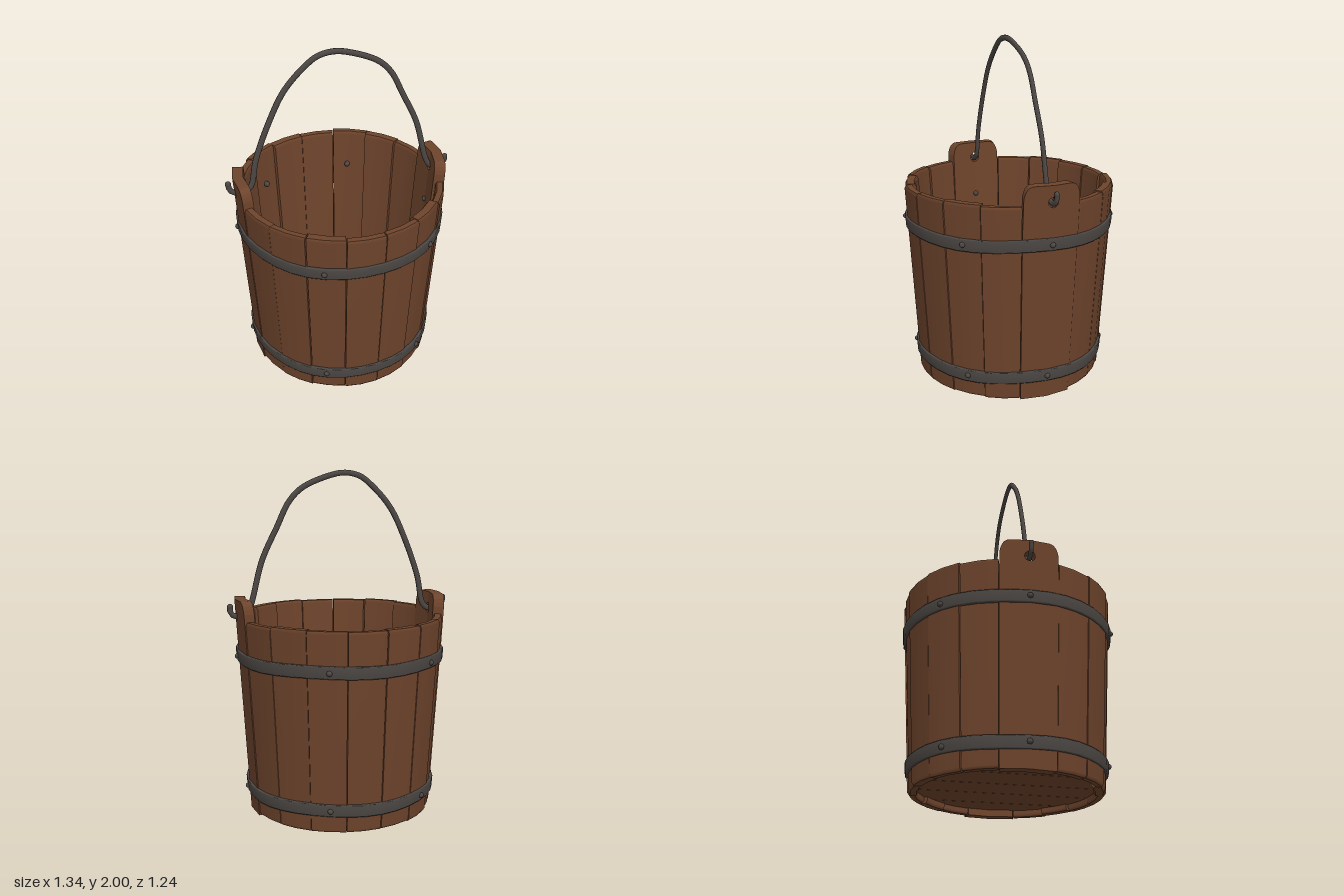
import * as THREE from 'three';

const HEIGHT = 1.16, WALL = 0.056, EAR_HALF = THREE.MathUtils.degToRad(16);
const outerRadius = (y) => 0.545 + (0.07 * y) / HEIGHT;

// Rewrites every vertex of a geometry by a rule and refreshes the normals
function reshape(geometry, rule) {
  const p = geometry.attributes.position;
  for (let i = 0; i < p.count; i++) p.setXYZ(i, ...rule(p.getX(i), p.getY(i), p.getZ(i)));
  geometry.computeVertexNormals();
  return geometry;
}

// Tapered wall plank, bent round the axis, with softened ends
function staveGeometry(angle, span, i) {
  const push = 0.004 * Math.sin(i * 2.3);
  const wall = WALL + 0.008 * Math.sin(i * 4.1);
  const top = HEIGHT + 0.004 * Math.sin(i * 1.7);
  const rows = [0.004 + 0.004 * Math.sin(i * 3.1), 0.02, top - 0.018, top];
  return reshape(new THREE.BoxGeometry(1, 1, 1, 2, 3, 1), (u, v, w) => {
    const row = Math.round((v + 0.5) * 3), y = rows[row];
    const trim = row === 0 || row === 3 ? 0.01 : 0;
    const r = outerRadius(y) + push + (w > 0 ? -trim : trim - wall);
    const a = angle + u * (span - 0.007);
    return [r * Math.sin(a), y, r * Math.cos(a)];
  });
}

// One half of the tall plank with the handle hole, split down its middle
function earHalfGeometry(side) {
  const holeY = 1.175, holeR = 0.03, top = 1.27;
  const shape = new THREE.Shape();
  shape.moveTo(0, 0);
  for (let i = 0; i <= 8; i++) {
    const a = -Math.PI / 2 + (i / 8) * Math.PI;
    shape.lineTo(side * holeR * Math.cos(a), holeY + holeR * Math.sin(a));
  }
  shape.lineTo(0, top);
  shape.lineTo(side * 0.11, top);
  shape.quadraticCurveTo(side * 0.155, top, side * 0.166, top - 0.07);
  shape.lineTo(side * 0.167, 1.0);
  shape.lineTo(side * 0.149, 0);
  shape.closePath();
  const geometry = new THREE.ExtrudeGeometry(shape, { depth: 0.062, bevelEnabled: false, curveSegments: 5 });
  return reshape(geometry, (u, y, d) => {
    const inset = 0.062 - d;
    return [u * (1 - inset / 0.6), y, outerRadius(y) + 0.004 - inset - 0.145 * Math.abs(u)];
  });
}

// Strip of a disc between two x positions
function floorBoardGeometry(x0, x1, radius, depth) {
  const shape = new THREE.Shape();
  const edge = (x) => Math.sqrt(Math.max(0, radius * radius - x * x));
  const n = 8, xs = Array.from({ length: n + 1 }, (_, i) => x0 + ((x1 - x0) * i) / n);
  const points = xs.map((x) => new THREE.Vector2(x, -edge(x)));
  xs.reverse().forEach((x) => points.push(new THREE.Vector2(x, edge(x))));
  shape.setFromPoints(points);
  return new THREE.ExtrudeGeometry(shape, { depth, bevelEnabled: false }).rotateX(-Math.PI / 2);
}

// Slightly uneven iron band following the taper of the wall
function hoopGeometry(y, inner) {
  const h = 0.036, out = (v) => outerRadius(v) + 0.014;
  const profile = [
    [inner, y - h], [out(y - h) - 0.004, y - h], [out(y - h), y - h + 0.006],
    [out(y), y], [out(y + h), y + h - 0.006], [out(y + h) - 0.004, y + h],
    [inner, y + h], [inner, y - h],
  ].map(([r, v]) => new THREE.Vector2(r, v));
  return reshape(new THREE.LatheGeometry(profile, 36), (x, v, z) => {
    const a = Math.atan2(x, z);
    return [x, v + 0.004 * Math.sin(5 * a + 1), z];
  });
}

export function createModel() {
  const wood = new THREE.MeshStandardMaterial({ color: 0x6e442c });
  wood.name = 'brown wood';
  const iron = new THREE.MeshStandardMaterial({ color: 0x4c4744 });
  iron.name = 'dark iron';

  const bucket = new THREE.Group();
  bucket.name = 'bucket';
  const add = (name, geometry, material) => {
    const mesh = new THREE.Mesh(geometry, material);
    mesh.name = name;
    bucket.add(mesh);
    return mesh;
  };

  // Wall: seven planks at the front and at the back, between the two ears
  const span = (Math.PI - 2 * EAR_HALF) / 7;
  for (let i = 0; i < 14; i++) {
    const angle = (i < 7 ? 0 : Math.PI) + ((i % 7) - 3) * span;
    add('stave', staveGeometry(angle, span, i), wood);
  }
  for (const turn of [1, -1]) {
    for (const side of [1, -1]) {
      add('earStave', earHalfGeometry(side).rotateY((turn * Math.PI) / 2), wood);
    }
  }

  // Floor: five boards running front to back
  const seams = [-0.5, -0.313, -0.1, 0.1, 0.313, 0.5];
  for (let i = 0; i < 5; i++) {
    const board = add('floorBoard', floorBoardGeometry(seams[i] + 0.002, seams[i + 1] - 0.002, 0.502, 0.055), wood);
    board.position.y = 0.04;
  }

  // Hoops with rivets driven through the wall
  for (const [name, y, inner] of [['lowerHoop', 0.138, 0.484], ['upperHoop', 0.935, 0.575]]) {
    add(name, hoopGeometry(y, inner), iron);
    for (const degrees of [0, 47, 112, 180, 228, 290]) {
      const a = THREE.MathUtils.degToRad(degrees);
      const rivet = add('rivet', new THREE.CapsuleGeometry(0.017, 0.07, 4, 8).rotateZ(Math.PI / 2), iron);
      const r = outerRadius(y) - 0.023;
      rivet.position.set(r * Math.cos(a), y, r * Math.sin(a));
      rivet.rotation.y = -a;
    }
  }

  // Hand-bent handle with its ends hooked through the ears
  const path = [
    [-0.652, 1.235], [-0.645, 1.195], [-0.618, 1.172], [-0.56, 1.17], [-0.522, 1.2], [-0.485, 1.37],
    [-0.4, 1.6], [-0.31, 1.78], [-0.2, 1.905], [-0.12, 1.965], [-0.03, 1.983], [0.06, 1.967],
    [0.22, 1.9], [0.3, 1.82], [0.37, 1.68], [0.46, 1.49], [0.535, 1.22], [0.565, 1.175],
    [0.618, 1.168], [0.648, 1.187], [0.652, 1.225],
  ].map(([x, y]) => new THREE.Vector3(x, y, 0));
  const handle = add('handle', new THREE.TubeGeometry(new THREE.CatmullRomCurve3(path), 90, 0.017, 10), iron);
  handle.scale.z = 0.75;
  for (const end of [path[0], path[path.length - 1]]) {
    const tip = add('handleTip', new THREE.SphereGeometry(0.018, 10, 8), iron);
    tip.position.copy(end);
    tip.scale.z = 0.8;
  }

  return bucket;
}
